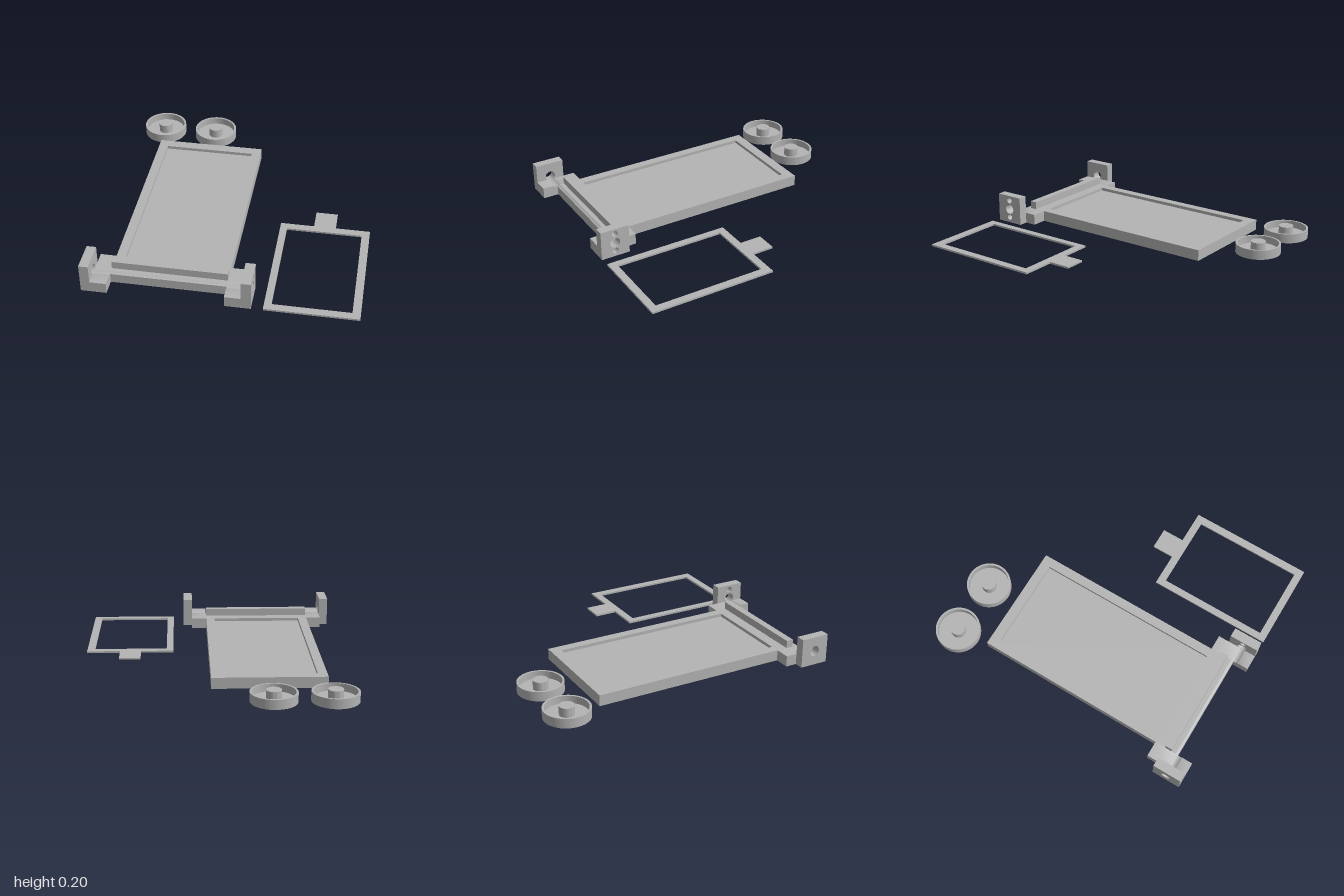
import * as THREE from 'three';
import { toCreasedNormals } from 'three/addons/utils/BufferGeometryUtils.js';

const grey = new THREE.MeshStandardMaterial({ color: 0xb4b4b4 });
grey.name = 'plain grey';

const TOP = 0.075;                      // height of the deck
const AXLE = { z: 0.9, y: 0.1, r: 0.035 };

function part(name, geometry) {
  const mesh = new THREE.Mesh(toCreasedNormals(geometry, 0.6), grey);
  mesh.name = name;
  return mesh;
}

const polygon = (pts) => new THREE.Shape(pts.map(([a, b]) => new THREE.Vector2(a, b)));
const rect = (a0, b0, a1, b1) => polygon([[a0, b0], [a1, b0], [a1, b1], [a0, b1]]);
const circle = (a, b, r) => new THREE.Path().absarc(a, b, r, 0, Math.PI * 2, false);

// Plan shape in (x, z), raised from y0 to y1
function slab(name, shape, y0, y1) {
  const g = new THREE.ExtrudeGeometry(shape, { depth: y1 - y0, bevelEnabled: false, curveSegments: 16 });
  return part(name, g.rotateX(Math.PI / 2).translate(0, y1, 0));
}

// Side shape in (z, y), swept from x0 to x1
function bar(name, shape, x0, x1) {
  const g = new THREE.ExtrudeGeometry(shape, { depth: x1 - x0, bevelEnabled: false, curveSegments: 24 });
  return part(name, g.rotateY(-Math.PI / 2).translate(x1, 0, 0));
}

// Deck section with the axle channel cut into its top
function channelProfile(front) {
  const { z, y, r } = AXLE;
  const half = Math.sqrt(r * r - (y - TOP) ** 2);
  const s = new THREE.Shape();
  s.moveTo(0.722, 0);
  s.lineTo(front, 0);
  let start = Math.atan2(TOP - y, half);
  if (front > z + half) {
    s.lineTo(front, TOP);
    s.lineTo(z + half, TOP);
  } else {
    const dz = front - z;
    start = Math.atan2(-Math.sqrt(r * r - dz * dz), dz);
    s.lineTo(front, y + r * Math.sin(start));
  }
  s.absarc(z, y, r, start, Math.atan2(TOP - y, -half), true);
  s.lineTo(0.722, TOP);
  return s;
}

function makeChassis() {
  const chassis = new THREE.Group();
  chassis.name = 'chassis';
  const x0 = -0.722, x1 = 0.034;

  // Tray: underside with pin holes, solid floor, raised rim
  const under = rect(x0, -0.616, x1, 0.722);
  under.holes.push(circle(-0.35, 0.1, 0.008), circle(-0.6, 0.09, 0.008));
  const rim = rect(x0, -0.616, x1, 0.722);
  rim.holes.push(rect(-0.659, -0.547, -0.029, 0.7215));
  chassis.add(
    slab('trayUnderside', under, 0, 0.02),
    slab('trayFloor', rect(x0, -0.616, x1, 0.722), 0.02, 0.053),
    slab('trayRim', rim, 0.053, TOP),
  );

  // Crossbar with channel, upright ridge and side arms
  chassis.add(
    bar('crossbar', channelProfile(0.893), x0, x1),
    bar('ridge', rect(0.796, TOP, 0.845, 0.127), x0, x1),
    bar('rightArm', channelProfile(1), -0.828, x0),
    bar('leftArm', channelProfile(1), x1, 0.14),
  );

  // Axle brackets; the left one also has two screw holes
  for (const [name, a, b, screws] of [
    ['rightBracket', -0.89, -0.828, []],
    ['leftBracket', 0.14, 0.204, [0.04, 0.165]],
  ]) {
    const s = rect(0.8, 0, 1, 0.2);
    s.holes.push(circle(AXLE.z, AXLE.y, AXLE.r));
    for (const y of screws) s.holes.push(circle(AXLE.z, y, 0.021));
    chassis.add(bar(name, s, a, b));
  }
  return chassis;
}

// Thin open frame with a pull tab
function makeFrame() {
  const s = polygon([
    [0.28, 1], [0.28, 0.14], [0.507, 0.14], [0.507, -0.012],
    [0.655, -0.012], [0.655, 0.14], [0.887, 0.14], [0.887, 1],
  ]);
  s.holes.push(rect(0.327, 0.192, 0.834, 0.949));
  return slab('frame', s, 0, 0.013);
}

// Cupped wheel with a centre hub
function makeWheel(name, x) {
  const profile = [
    [0, 0], [0.153, 0], [0.153, 0.065], [0.139, 0.065],
    [0.139, 0.015], [0.05, 0.015], [0.05, 0.077], [0, 0.077],
  ].map(([r, y]) => new THREE.Vector2(r, y));
  const wheel = part(name, new THREE.LatheGeometry(profile, 64));
  wheel.position.set(x, 0, -0.847);
  return wheel;
}

export function createModel() {
  const model = new THREE.Group();
  model.name = 'printedCartKit';
  model.add(makeChassis(), makeFrame(), makeWheel('rightWheel', -0.737), makeWheel('leftWheel', -0.351));
  return model;
}
